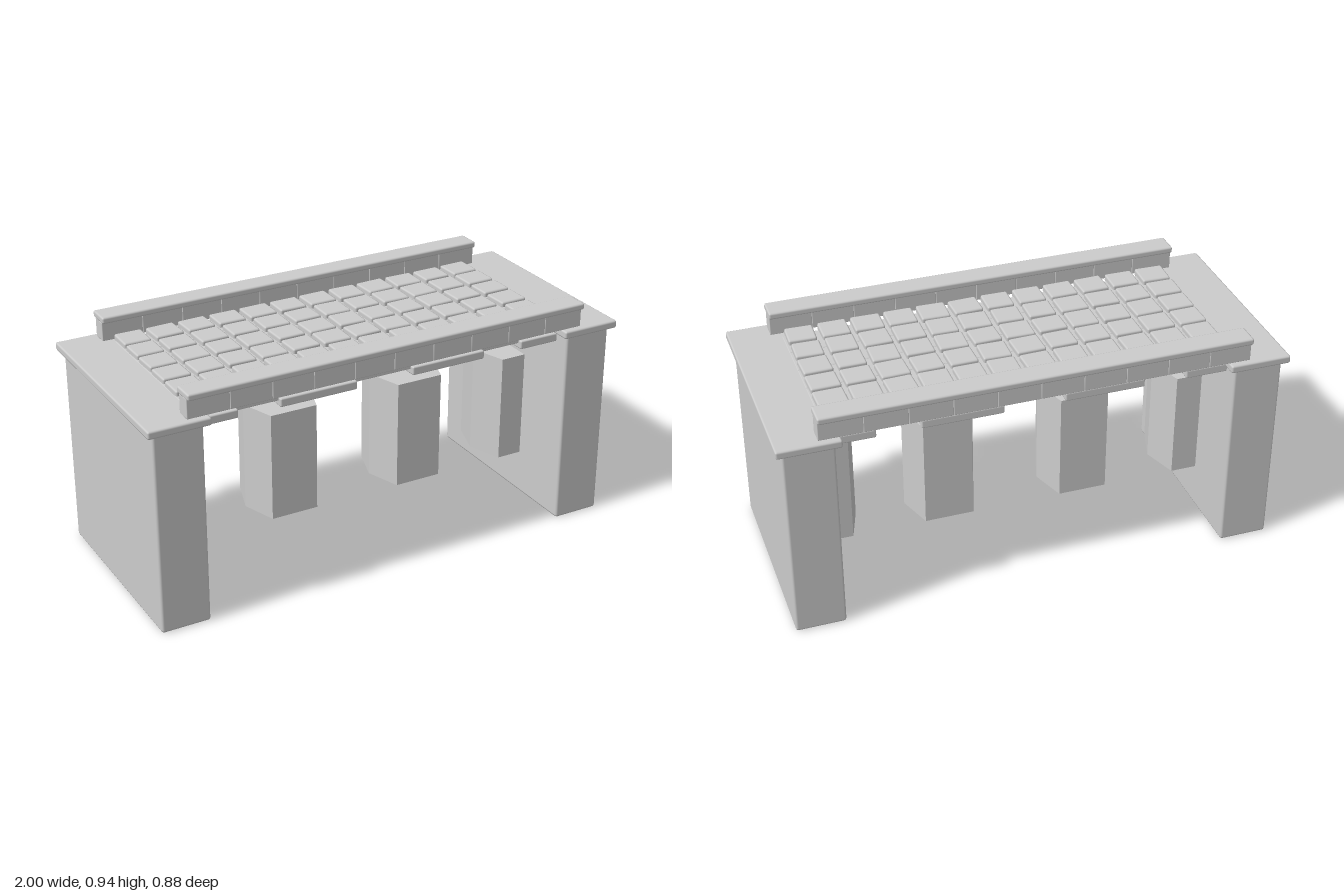
import * as THREE from 'three';
import { RoundedBoxGeometry } from 'three/addons/geometries/RoundedBoxGeometry.js';

const stone = new THREE.MeshStandardMaterial({ color: 0xcccccc });
stone.name = 'stone';

// small seeded random for the uneven paving
let seed = 7;
function rand() {
  seed = (seed * 16807) % 2147483647;
  return seed / 2147483647 - 0.5;
}

export function createModel() {
  const model = new THREE.Group();
  model.name = 'stoneBridge';

  function add(name, geometry, x, y, z) {
    const mesh = new THREE.Mesh(geometry, stone);
    mesh.name = name;
    mesh.position.set(x, y, z);
    model.add(mesh);
    return mesh;
  }
  // chamfered block given by its low and high corners
  function block(name, x0, x1, y0, y1, z0, z1, bevel) {
    const g = new RoundedBoxGeometry(x1 - x0, y1 - y0, z1 - z0, 1, bevel);
    return add(name, g, (x0 + x1) / 2, (y0 + y1) / 2, (z0 + z1) / 2);
  }

  // end abutments with their cap slabs
  for (const s of [-1, 1]) {
    const wall = block('abutment', -0.0985, 0.0985, 0, 0.815, -0.418, 0.418, 0.01);
    wall.position.x = s * 0.8765;
    const cap = block('abutmentCap', -0.1225, 0.1225, 0.808, 0.84, -0.44, 0.44, 0.008);
    cap.position.x = s * 0.8775;
  }

  // six-sided piers, each under a separate plate
  const outline = new THREE.Shape([
    [0.145, 0], [0.098, 0.143], [-0.098, 0.143],
    [-0.145, 0], [-0.098, -0.143], [0.098, -0.143],
  ].map(([x, y]) => new THREE.Vector2(x, y)));
  const pierGeometry = new THREE.ExtrudeGeometry(outline, { depth: 0.445, bevelEnabled: false });
  pierGeometry.rotateX(-Math.PI / 2);
  for (const x of [-0.77, -0.28, 0.28, 0.77]) {
    add('pier', pierGeometry, x, 0.18, 0);
    block('pierPlate', x - 0.16, x + 0.16, 0.763, 0.798, -0.35, 0.35, 0.006);
  }

  // long deck slabs
  for (let i = 0; i < 5; i++) {
    const z = (i - 2) * 0.132;
    block('deckSlab', -0.8, 0.8, 0.783, 0.842, z - 0.066, z + 0.066, 0.004);
  }

  // uneven paving stones
  for (let col = 0; col < 12; col++) {
    for (let row = 0; row < 6; row++) {
      const w = 0.115 + rand() * 0.008;
      const d = 0.107 + rand() * 0.008;
      const paver = add('pavingStone', new RoundedBoxGeometry(w, 0.032, d, 1, 0.008),
        (col - 5.5) * 0.1338 - 0.003, 0.846, (row - 2.5) * 0.1195);
      paver.rotation.y = rand() * 0.07;
    }
  }

  // parapets of ten blocks under a long coping
  for (const s of [-1, 1]) {
    for (let i = 0; i < 10; i++) {
      const x = (i - 4.5) * 0.168;
      const b = block('parapetBlock', x - 0.084, x + 0.084, 0.84, 0.917, -0.031, 0.031, 0.003);
      b.position.z = s * 0.384;
    }
    const coping = block('coping', -0.842, 0.842, 0.915, 0.942, -0.048, 0.048, 0.008);
    coping.position.z = s * 0.385;
  }

  return model;
}
